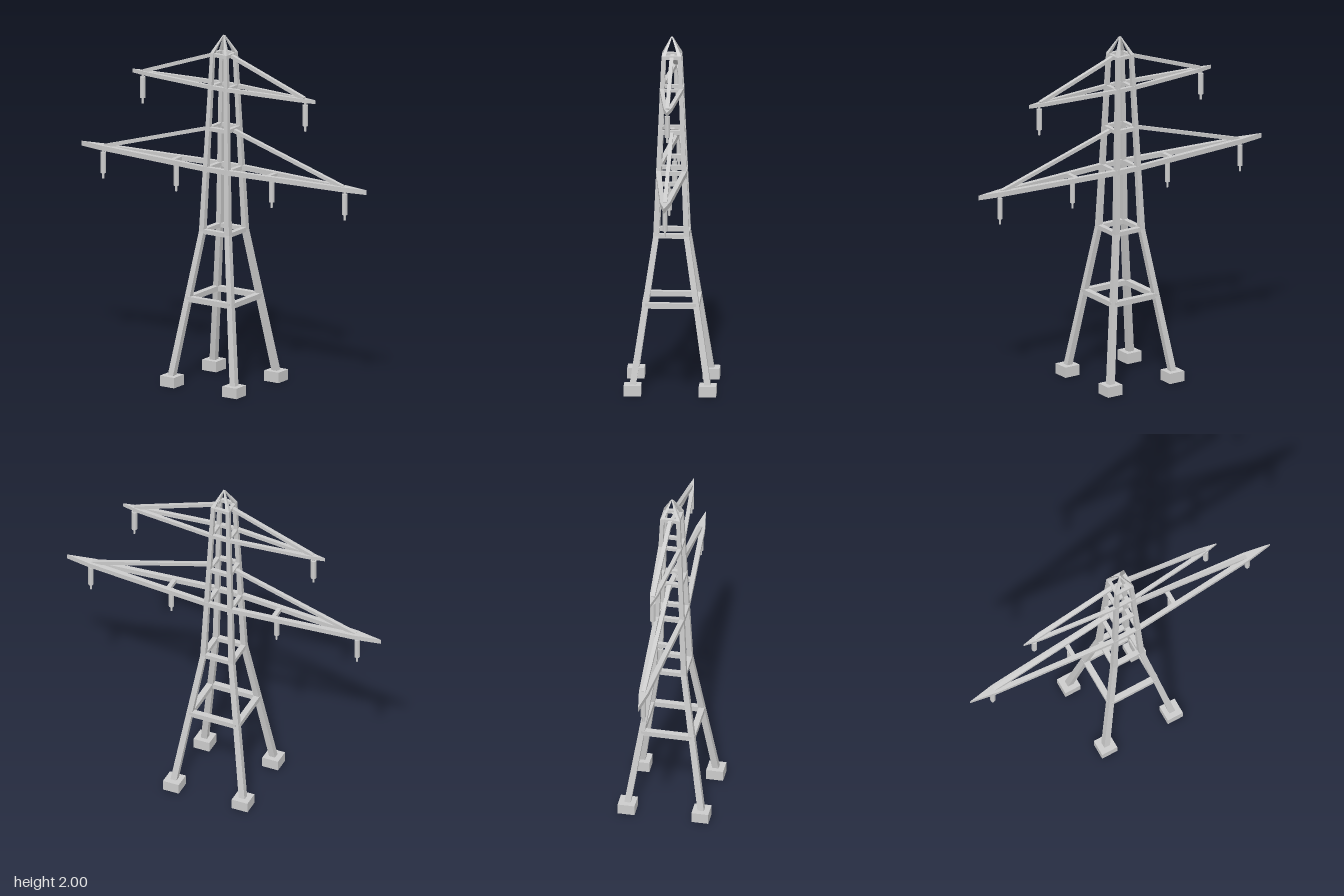
import * as THREE from 'three';

const material = new THREE.MeshStandardMaterial({ color: 0xcccccc, flatShading: true, side: THREE.DoubleSide });

function add(parent, name, geometry, x = 0, y = 0, z = 0) {
  const mesh = new THREE.Mesh(geometry, material);
  mesh.name = name;
  mesh.position.set(x, y, z);
  parent.add(mesh);
  return mesh;
}

// Tapered upright bar whose square ends stay level, from a to b
function leaningBar(a, b, sizeA, sizeB) {
  const g = new THREE.BoxGeometry(1, 1, 1);
  const p = g.attributes.position;
  for (let i = 0; i < p.count; i++) {
    const t = p.getY(i) + 0.5;
    const s = THREE.MathUtils.lerp(sizeA, sizeB, t);
    p.setXYZ(i,
      THREE.MathUtils.lerp(a[0], b[0], t) + p.getX(i) * s,
      THREE.MathUtils.lerp(a[1], b[1], t),
      THREE.MathUtils.lerp(a[2], b[2], t) + p.getZ(i) * s);
  }
  g.computeVertexNormals();
  return g;
}

// Centre offset of the legs at a given height
function legOffset(y) {
  return y < 0.88
    ? THREE.MathUtils.mapLinear(y, 0.05, 0.88, 0.209, 0.085)
    : THREE.MathUtils.mapLinear(y, 0.88, 1.9, 0.085, 0.045);
}

// Four bars around the tower at one height
function addRing(parent, y, height, depth) {
  const o = legOffset(y);
  for (const s of [-1, 1]) {
    add(parent, 'crossBar', new THREE.BoxGeometry(2 * o, height, depth), 0, y, s * o);
    add(parent, 'sideBar', new THREE.BoxGeometry(depth, height, 2 * o), s * o, y, 0);
  }
}

// Pointed flat frame reaching out to both sides, open inside
function armGeometry({ tip, kink, kinkZ, root, rootZ, innerZ, innerTip, thickness }) {
  const outline = [[tip, 0], [kink, kinkZ], [root, rootZ], [-root, rootZ], [-kink, kinkZ],
    [-tip, 0], [-kink, -kinkZ], [-root, -rootZ], [root, -rootZ], [kink, -kinkZ]];
  const inner = [[innerTip, 0], [root, innerZ], [-root, innerZ],
    [-innerTip, 0], [-root, -innerZ], [root, -innerZ]];
  const toPoints = list => list.map(([x, y]) => new THREE.Vector2(x, y));
  const shape = new THREE.Shape(toPoints(outline));
  shape.holes.push(new THREE.Path(toPoints(inner)));
  const g = new THREE.ExtrudeGeometry(shape, { depth: thickness, bevelEnabled: false });
  g.translate(0, 0, -thickness / 2);
  g.rotateX(Math.PI / 2);
  return g;
}

// Hanging insulator: neck, body and end pin
function addInsulator(parent, x, top, radius) {
  const group = new THREE.Group();
  group.name = 'insulator';
  group.position.set(x, top, 0);
  add(group, 'neck', new THREE.CylinderGeometry(0.008, 0.008, 0.03, 8), 0, -0.005, 0);
  add(group, 'body', new THREE.CylinderGeometry(radius, radius, 0.12, 10), 0, -0.075, 0);
  add(group, 'pin', new THREE.CylinderGeometry(0.006, 0.006, 0.035, 8), 0, -0.15, 0);
  parent.add(group);
}

function addArm(parent, name, y, spec) {
  const group = new THREE.Group();
  group.name = name;
  add(group, 'armFrame', armGeometry(spec), 0, y, 0);
  for (const side of [-1, 1]) {
    // Sloping stay from the tower ring down to the arm
    const from = new THREE.Vector3(side * spec.stayX, spec.stayY, 0);
    const to = new THREE.Vector3(side * spec.stayEnd, y + 0.008, 0);
    const stay = add(group, 'stay', new THREE.BoxGeometry(0.022, 0.02, from.distanceTo(to)));
    stay.position.copy(from).add(to).multiplyScalar(0.5);
    stay.lookAt(to);
    for (const x of spec.insulators) addInsulator(group, side * x, y - spec.thickness / 2, spec.insulatorRadius);
    // Bars across the open frame that carry the inner insulators
    for (const x of spec.braces) {
      const z = THREE.MathUtils.mapLinear(x, spec.root, spec.innerTip, spec.innerZ, 0);
      add(group, 'brace', new THREE.BoxGeometry(0.025, spec.thickness * 0.8, 2 * z + 0.02), side * x, y, 0);
    }
  }
  parent.add(group);
}

export function createModel() {
  const model = new THREE.Group();
  model.name = 'powerPylon';

  // Feet, legs and peak
  for (const sx of [-1, 1]) {
    for (const sz of [-1, 1]) {
      const at = (o, y) => [sx * o, y, sz * o];
      add(model, 'foot', new THREE.BoxGeometry(0.096, 0.06, 0.096), sx * 0.209, 0.03, sz * 0.209);
      add(model, 'lowerLeg', leaningBar(at(0.209, 0.05), at(0.085, 0.88), 0.036, 0.031));
      add(model, 'upperLeg', leaningBar(at(0.085, 0.88), at(0.045, 1.9), 0.031, 0.022));
      add(model, 'peakBar', leaningBar(at(0.045, 1.9), at(0.002, 2), 0.022, 0.006));
    }
  }

  // Horizontal rings
  addRing(model, 0.495, 0.03, 0.034);
  addRing(model, 0.88, 0.025, 0.03);
  addRing(model, 1.235, 0.024, 0.024);
  addRing(model, 1.467, 0.022, 0.024);
  addRing(model, 1.705, 0.018, 0.022);
  addRing(model, 1.89, 0.02, 0.02);

  // Arms
  addArm(model, 'lowerArm', 1.236, {
    tip: 0.955, kink: 0.8, kinkZ: 0.027, root: 0.075, rootZ: 0.086, innerZ: 0.06, innerTip: 0.79,
    thickness: 0.028, stayX: 0.05, stayY: 1.467, stayEnd: 0.8,
    insulators: [0.32, 0.81], insulatorRadius: 0.015, braces: [0.32],
  });
  addArm(model, 'upperArm', 1.705, {
    tip: 0.615, kink: 0.51, kinkZ: 0.022, root: 0.055, rootZ: 0.066, innerZ: 0.045, innerTip: 0.51,
    thickness: 0.022, stayX: 0.035, stayY: 1.892, stayEnd: 0.54,
    insulators: [0.545], insulatorRadius: 0.016, braces: [],
  });

  return model;
}
